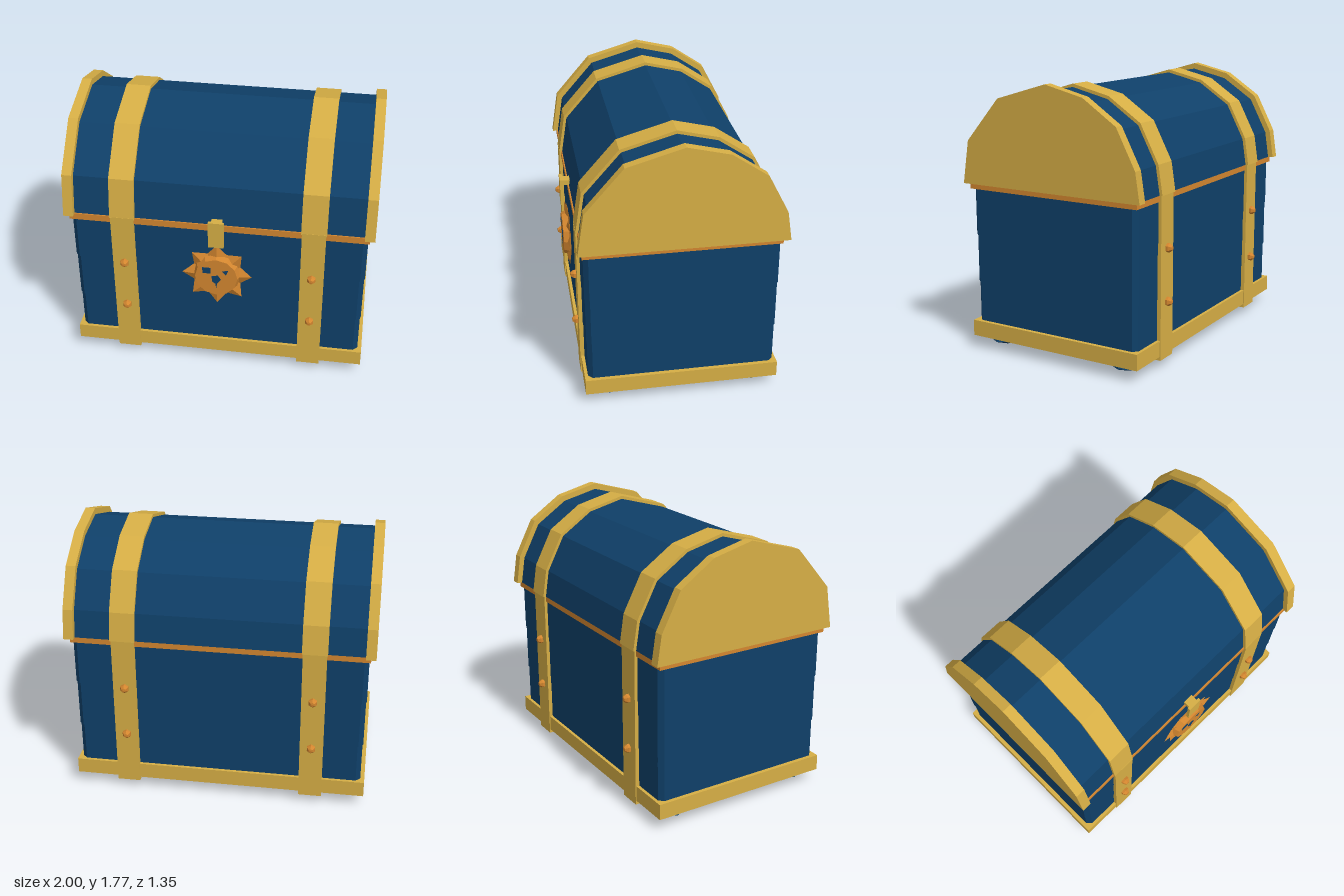
import * as THREE from 'three';

const mat = (name, color) => Object.assign(new THREE.MeshStandardMaterial({ color, flatShading: true }), { name });

export function createModel() {
  const group = new THREE.Group();
  group.name = 'treasureChest';
  const blue = mat('navyBlue', 0x0f4069);
  const gold = mat('gold', 0xd6ae45);
  const copper = mat('copper', 0xd3862f);

  const add = (name, geometry, material, x = 0, y = 0, z = 0) => {
    const mesh = new THREE.Mesh(geometry, material);
    mesh.name = name;
    mesh.position.set(x, y, z);
    group.add(mesh);
    return mesh;
  };
  // Box given by its extents
  const box = (name, material, x0, x1, y0, y1, z0, z1) =>
    add(name, new THREE.BoxGeometry(x1 - x0, y1 - y0, z1 - z0), material,
      (x0 + x1) / 2, (y0 + y1) / 2, (z0 + z1) / 2);
  const shapeOf = pts => new THREE.Shape(pts.map(p => new THREE.Vector2(p[0], p[1])));

  // Body: three courses of planks with chamfered corners, widening upwards
  const course = (y0, y1, hx, hz) => {
    const c = 0.03;
    const shape = shapeOf([[-hx + c, -hz], [hx - c, -hz], [hx, -hz + c], [hx, hz - c],
      [hx - c, hz], [-hx + c, hz], [-hx, hz - c], [-hx, -hz + c]]);
    const g = new THREE.ExtrudeGeometry(shape, { depth: y1 - y0, bevelEnabled: false });
    g.rotateX(-Math.PI / 2);
    add('bodyPlanks', g, blue, 0, y0, 0);
  };
  course(0.12, 0.45, 0.948, 0.607);
  course(0.45, 0.77, 0.953, 0.61);
  course(0.77, 1.08, 0.958, 0.613);
  box('baseTrim', gold, -0.975, 0.975, 0.08, 0.185, -0.628, 0.628);
  box('copperRim', copper, -0.968, 0.968, 1.072, 1.116, -0.622, 0.622);

  // Lid: faceted arch (z, height above rim) extruded along x
  const arch = [[0.65, 0], [0.605, 0.28], [0.36, 0.56], [0, 0.665],
    [-0.27, 0.6], [-0.5, 0.445], [-0.63, 0.195], [-0.66, 0]];
  const archPart = (name, material, x0, x1, sz, sy) => {
    const g = new THREE.ExtrudeGeometry(shapeOf(arch.map(([z, y]) => [-z * sz, y * sy])),
      { depth: x1 - x0, bevelEnabled: false });
    g.rotateY(Math.PI / 2);
    add(name, g, material, x0, 1.11, 0);
  };
  archPart('lid', blue, -0.95, 0.95, 0.945, 0.938);

  for (const s of [-1, 1]) {
    // End caps and straps
    archPart('lidEndCap', gold, s > 0 ? 0.935 : -1, s > 0 ? 1 : -0.935, 1, 1);
    const x0 = s > 0 ? 0.537 : -0.7, x1 = x0 + 0.163;
    archPart('lidStrap', gold, x0, x1, 0.975, 0.97);
    box('bodyStrap', gold, x0 + 0.005, x1 - 0.005, 0.055, 1.118, -0.634, 0.634);

    for (const f of [-1, 1]) {
      // Rivets
      for (const y of [0.425, 0.77]) {
        const g = new THREE.LatheGeometry([[0.03, 0], [0.03, 0.018], [0.015, 0.038], [0, 0.04]]
          .map(p => new THREE.Vector2(p[0], p[1])), 6);
        add('rivet', g, copper, s * 0.617, y, f * 0.632).rotation.x = f * Math.PI / 2;
      }
      // Feet
      const foot = new THREE.LatheGeometry([[0, 0], [0.115, 0.045], [0.1, 0.085], [0, 0.085]]
        .map(p => new THREE.Vector2(p[0], p[1])), 6);
      foot.rotateY(Math.PI / 6);
      add('foot', foot, blue, s * 0.82, 0, f * 0.47);
    }
  }

  // Clasp with its hidden hinge block
  box('clasp', gold, -0.05, 0.05, 0.98, 1.165, 0.655, 0.675);
  box('claspHinge', gold, -0.035, 0.035, 1.12, 1.155, 0.58, 0.657);

  // Sun emblem: eight ridged rays rising to the centre
  const rays = [];
  const rim = i => {
    const a = Math.PI / 2 + i * Math.PI / 8;
    const r = i % 2 ? 0.165 : 0.23;
    return [Math.cos(a) * r, Math.sin(a) * r];
  };
  for (let i = 0; i < 16; i++) {
    const a = rim(i), b = rim(i + 1);
    const za = i % 2 ? 0.005 : 0.02, zb = i % 2 ? 0.02 : 0.005;
    rays.push(0, 0, 0.05, ...a, za, ...b, zb);
    rays.push(0, 0, 0, ...b, zb, ...a, za);
  }
  const sun = new THREE.BufferGeometry();
  sun.setAttribute('position', new THREE.Float32BufferAttribute(rays, 3));
  sun.computeVertexNormals();
  add('sunRays', sun, copper, 0, 0.74, 0.618);
  const disc = new THREE.CylinderGeometry(0.14, 0.155, 0.04, 12);
  disc.rotateX(Math.PI / 2);
  add('sunDisc', disc, copper, 0, 0.74, 0.652);

  // Thin dark face markings and keyhole
  const plate = (name, pts) => add(name,
    new THREE.ExtrudeGeometry(shapeOf(pts), { depth: 0.003, bevelEnabled: false }), blue, 0, 0.74, 0.671);
  plate('squareEye', [[-0.09, 0.03], [-0.035, 0.03], [-0.035, 0.075], [-0.09, 0.075]]);
  plate('smallEye', [[0.04, 0.055], [0.065, 0.025], [0.08, 0.063]]);
  plate('keyhole', [[-0.03, 0.008], [-0.025, -0.035], [-0.004, -0.05], [0, -0.09],
    [0.006, -0.05], [0.032, -0.015], [0.012, 0.018]]);

  return group;
}
